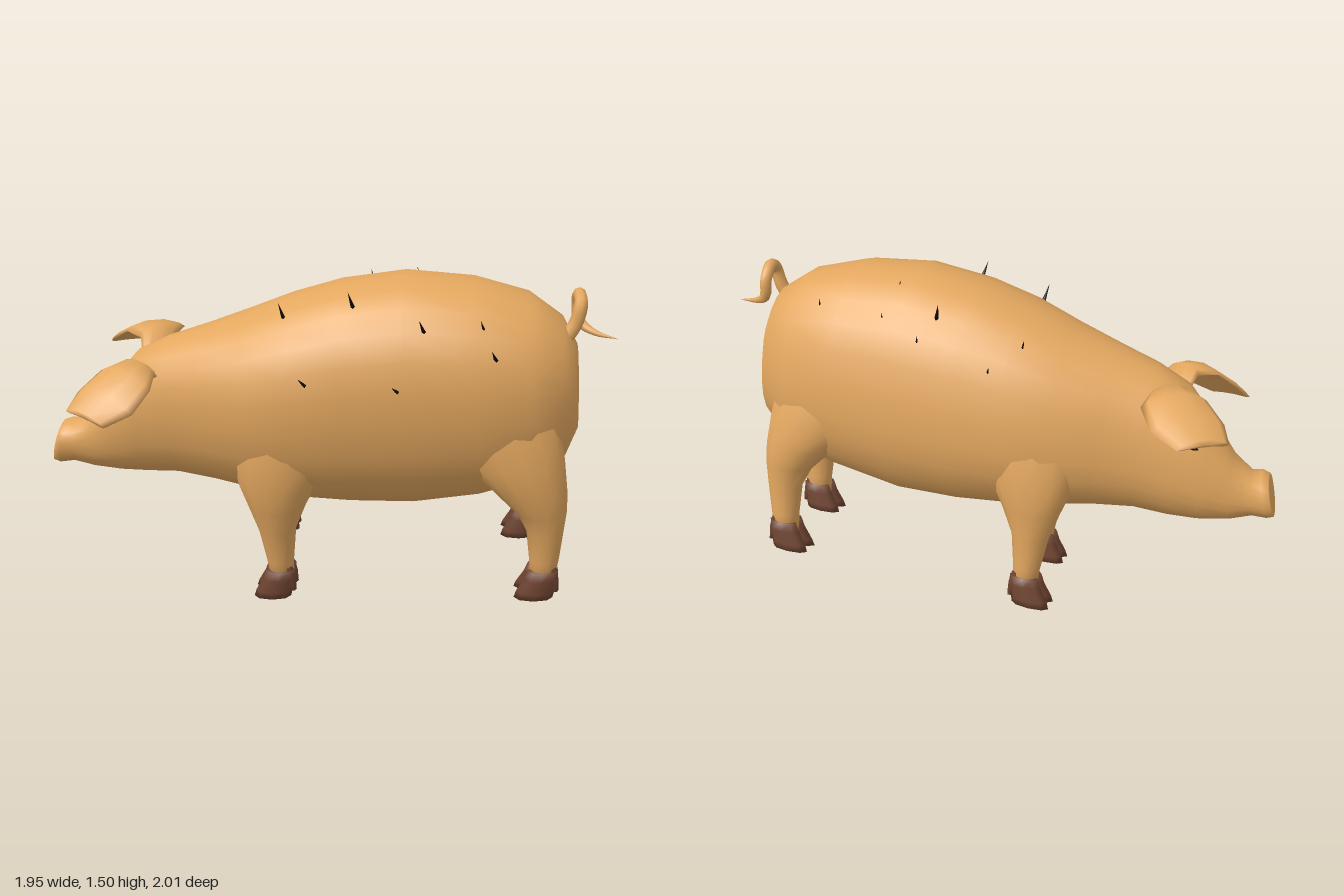
import * as THREE from 'three';

const skin = new THREE.MeshStandardMaterial({ color: 0xe3a75f });
skin.name = 'tan skin';
const horn = new THREE.MeshStandardMaterial({ color: 0x6e4431 });
horn.name = 'brown hoof';
const black = new THREE.MeshStandardMaterial({ color: 0x0c0a08 });
black.name = 'black bristle';

const V = (x, y, z) => new THREE.Vector3(x, y, z);
const TAU = Math.PI * 2;

// Closed, capped skin over a list of point rings
function loft(rings) {
  const n = rings[0].length, pos = [], idx = [];
  rings.forEach((r) => r.forEach((p) => pos.push(p.x, p.y, p.z)));
  for (let k = 0; k < rings.length - 1; k++) {
    for (let i = 0; i < n; i++) {
      const a = k * n + i, b = k * n + (i + 1) % n;
      idx.push(a, b, b + n, a, b + n, a + n);
    }
  }
  [0, rings.length - 1].forEach((k, end) => {
    const c = rings[k].reduce((s, p) => s.add(p), V(0, 0, 0)).divideScalar(n);
    const m = pos.length / 3;
    pos.push(c.x, c.y, c.z);
    for (let i = 0; i < n; i++) {
      const a = k * n + i, b = k * n + (i + 1) % n;
      if (end) idx.push(m, a, b); else idx.push(m, b, a);
    }
  });
  const g = new THREE.BufferGeometry();
  g.setAttribute('position', new THREE.Float32BufferAttribute(pos, 3));
  g.setIndex(idx);
  g.computeVertexNormals();
  return g;
}

// Body sections from rump to snout: z, bottom, top, half width, side shift, lean
const BODY = [
  [-0.80, 0.70, 1.08, 0.13, -0.03, 0],
  [-0.74, 0.57, 1.20, 0.25, -0.035, 0],
  [-0.60, 0.47, 1.305, 0.345, -0.045, 0],
  [-0.37, 0.405, 1.38, 0.385, -0.045, 0],
  [-0.08, 0.365, 1.415, 0.40, -0.05, 0],
  [0.20, 0.375, 1.385, 0.40, -0.05, 0],
  [0.42, 0.40, 1.33, 0.39, -0.045, 0],
  [0.62, 0.435, 1.26, 0.36, -0.05, 0],
  [0.82, 0.475, 1.20, 0.285, -0.05, 0],
  [1.00, 0.50, 1.15, 0.23, -0.055, 0],
  [1.15, 0.497, 1.085, 0.20, -0.06, 0],
  [1.28, 0.505, 0.95, 0.17, -0.06, 0],
  [1.40, 0.527, 0.82, 0.125, -0.05, -0.1],
  [1.49, 0.56, 0.755, 0.10, -0.04, -0.2],
  [1.545, 0.56, 0.76, 0.108, -0.03, -0.3],
  [1.575, 0.57, 0.75, 0.10, -0.03, -0.3],
  [1.577, 0.585, 0.735, 0.085, -0.03, -0.3],
];
function bodyPoint([z, lo, hi, w, cx, lean], t) {
  const soft = (v) => Math.sign(v) * Math.abs(v) ** 0.9;
  const dy = soft(Math.sin(t)) * (hi - lo) / 2;
  return V(cx + soft(Math.cos(t)) * w, (lo + hi) / 2 + dy, z + dy * lean);
}
function sectionAt(z) {
  const k = BODY.findIndex((s) => s[0] > z), a = BODY[k - 1], b = BODY[k];
  const f = (z - a[0]) / (b[0] - a[0]);
  return a.map((v, i) => v + (b[i] - v) * f);
}
const ringOf = (n, fn) => Array.from({ length: n }, (_, i) => fn(i / n * TAU));

// Upright loft from sections: y, z, half depth, half width, x.
// The left feet stand a little further back, and the legs lean with the body.
function column(sections, side, n) {
  const stepZ = -0.01 - 0.03 * side;
  return loft(sections.map(([y, z, hz, hx, x]) => ringOf(n, (t) =>
    V(side * x - 0.055 * y + hx * Math.sin(t), y, z + stepZ + hz * Math.cos(t)))));
}
const FRONT_LEG = [
  [0.09, 0.57, 0.055, 0.058, 0.255], [0.18, 0.57, 0.062, 0.06, 0.255],
  [0.34, 0.57, 0.085, 0.08, 0.255], [0.46, 0.56, 0.13, 0.105, 0.255],
  [0.58, 0.545, 0.185, 0.125, 0.25], [0.72, 0.52, 0.215, 0.13, 0.24],
  [0.88, 0.49, 0.20, 0.115, 0.23], [1.04, 0.45, 0.13, 0.07, 0.21],
];
const HIND_LEG = [
  [0.09, -0.60, 0.058, 0.06, 0.255], [0.18, -0.61, 0.065, 0.06, 0.255],
  [0.32, -0.615, 0.08, 0.07, 0.255], [0.42, -0.60, 0.11, 0.09, 0.25],
  [0.52, -0.555, 0.155, 0.115, 0.25], [0.66, -0.485, 0.215, 0.13, 0.24],
  [0.84, -0.425, 0.25, 0.12, 0.23], [1.02, -0.40, 0.20, 0.085, 0.21],
];

// Ear sections from root to tip: centre x, y, z, half width
const EAR = [
  [0.08, 1.02, 1.08, 0.07], [0.18, 1.095, 1.09, 0.085], [0.28, 1.105, 1.13, 0.14],
  [0.36, 1.045, 1.21, 0.155], [0.42, 0.98, 1.29, 0.11],
];
function earGeometry(side) {
  return loft(EAR.map(([x, y, z, w], k) => {
    const ring = ringOf(10, (t) => {
      const u = Math.cos(t) * w, v = Math.sin(t) * (k < 2 ? 0.035 : 0.016);
      return V(side * (x + 0.47 * u + 0.2 * v), y + v - 0.15 * u - 1.5 * u * u, z - 0.88 * u);
    });
    return side < 0 ? ring.reverse() : ring;
  }));
}

// Curled tail, thinning to its tip
function tailGeometry() {
  const curve = new THREE.CatmullRomCurve3([
    V(0, 1.07, -0.70), V(-0.02, 1.18, -0.786), V(-0.043, 1.265, -0.813),
    V(-0.11, 1.285, -0.808), V(-0.155, 1.23, -0.804), V(-0.14, 1.147, -0.812),
    V(-0.098, 1.11, -0.873), V(-0.066, 1.09, -0.97)]);
  const segs = 32, sides = 8;
  const g = new THREE.TubeGeometry(curve, segs, 0.034, sides);
  const p = g.attributes.position, v = V(0, 0, 0);
  for (let i = 0; i <= segs; i++) {
    const c = curve.getPointAt(i / segs), s = i < 22 ? 1 - i * 0.012 : 0.74 * (segs - i) / 10 + 0.02;
    for (let j = 0; j <= sides; j++) {
      const k = i * (sides + 1) + j;
      v.fromBufferAttribute(p, k).sub(c).multiplyScalar(s).add(c);
      p.setXYZ(k, v.x, v.y, v.z);
    }
  }
  return g;
}

// Bristles: a point near the skin in the final stance, and the length
const BRISTLES = [
  [0.08, 1.28, 0.22, 0.09], [0.33, 1.38, 0.05, 0.09], [0.61, 1.29, -0.10, 0.09],
  [0.76, 1.31, -0.29, 0.06], [0.83, 1.18, -0.30, 0.09], [0.59, 1.04, 0.02, 0.09],
  [0.30, 1.05, 0.28, 0.09], [0.00, 1.43, -0.34, 0.10], [-0.05, 1.36, -0.48, 0.05],
  [-0.28, 1.24, -0.26, 0.05], [-0.24, 1.29, -0.05, 0.05], [0.25, 1.47, -0.38, 0.03],
  [0.38, 1.45, -0.73, 0.04], [0.15, 1.40, -0.53, 0.03],
];

export function createModel() {
  const model = new THREE.Group();
  model.name = 'pig';
  const pig = new THREE.Group();
  pig.name = 'standingPig';
  model.add(pig);
  const add = (geo, mat, name) => {
    const m = new THREE.Mesh(geo, mat);
    m.name = name;
    pig.add(m);
    return m;
  };

  // Stance: turned to the front right corner and slightly tilted
  const up = V(0.088, 0.981, 0.172).normalize();
  const left = up.clone().cross(V(-0.705, -0.065, 0.70)).normalize();
  const ahead = left.clone().cross(up);
  pig.quaternion.setFromRotationMatrix(new THREE.Matrix4().makeBasis(left, up, ahead));
  pig.position.set(0.225, 0.08, -0.35);

  add(loft(BODY.map((s) => ringOf(24, (t) => bodyPoint(s, t)))), skin, 'bodyAndHead');
  add(tailGeometry(), skin, 'tail');

  for (const side of [1, -1]) {
    const label = side > 0 ? 'left' : 'right';
    add(earGeometry(side), skin, label + 'Ear').position.x = -0.065;

    // Legs with cloven hooves and dewclaws
    [[FRONT_LEG, 'FrontLeg', 0.575], [HIND_LEG, 'HindLeg', -0.60]].forEach(([sections, part, z]) => {
      add(column(sections, side, 14), skin, label + part);
      for (const toe of [-1, 1]) {
        const x = 0.255 + toe * 0.033;
        add(column([
          [0.01, z + 0.04, 0.085, 0.036, x + toe * 0.01], [0.04, z + 0.03, 0.084, 0.04, x + toe * 0.006],
          [0.10, z + 0.005, 0.072, 0.041, x], [0.14, z - 0.005, 0.065, 0.037, x]], side, 8), horn, label + part + 'Toe');
        add(column([
          [0.04, z - 0.058, 0.014, 0.018, x], [0.10, z - 0.05, 0.022, 0.024, x],
          [0.155, z - 0.045, 0.016, 0.018, x]], side, 6), horn, label + part + 'Dewclaw');
      }
    });

    // Eye and nostril
    const eye = add(new THREE.SphereGeometry(0.015, 8, 6), black, label + 'Eye');
    eye.position.copy(bodyPoint(sectionAt(1.23), side > 0 ? 0.42 : Math.PI - 0.42));
    eye.scale.set(0.5, 0.5, 1.3);
    const nostril = add(new THREE.CircleGeometry(0.004, 8), black, label + 'Nostril');
    nostril.position.set(-0.03 + side * 0.035, 0.66, 1.581);
    nostril.rotation.x = -0.29;
  }

  // Sparse bristles over the back
  model.updateMatrixWorld(true);
  BRISTLES.forEach(([x, y, z, len]) => {
    const p = pig.worldToLocal(V(x, y, z)), s = sectionAt(p.z);
    const t = Math.atan2((p.y - (s[1] + s[2]) / 2) / (s[2] - s[1]) * 2, (p.x - s[4]) / s[3]);
    const b = add(new THREE.ConeGeometry(len * 0.11, len, 4), black, 'bristle');
    const dir = V(Math.cos(t), Math.sin(t) + 0.5, 0.25).normalize();
    b.position.copy(bodyPoint(s, t)).addScaledVector(dir, len * 0.35);
    b.quaternion.setFromUnitVectors(V(0, 1, 0), dir);
  });
  return model;
}
